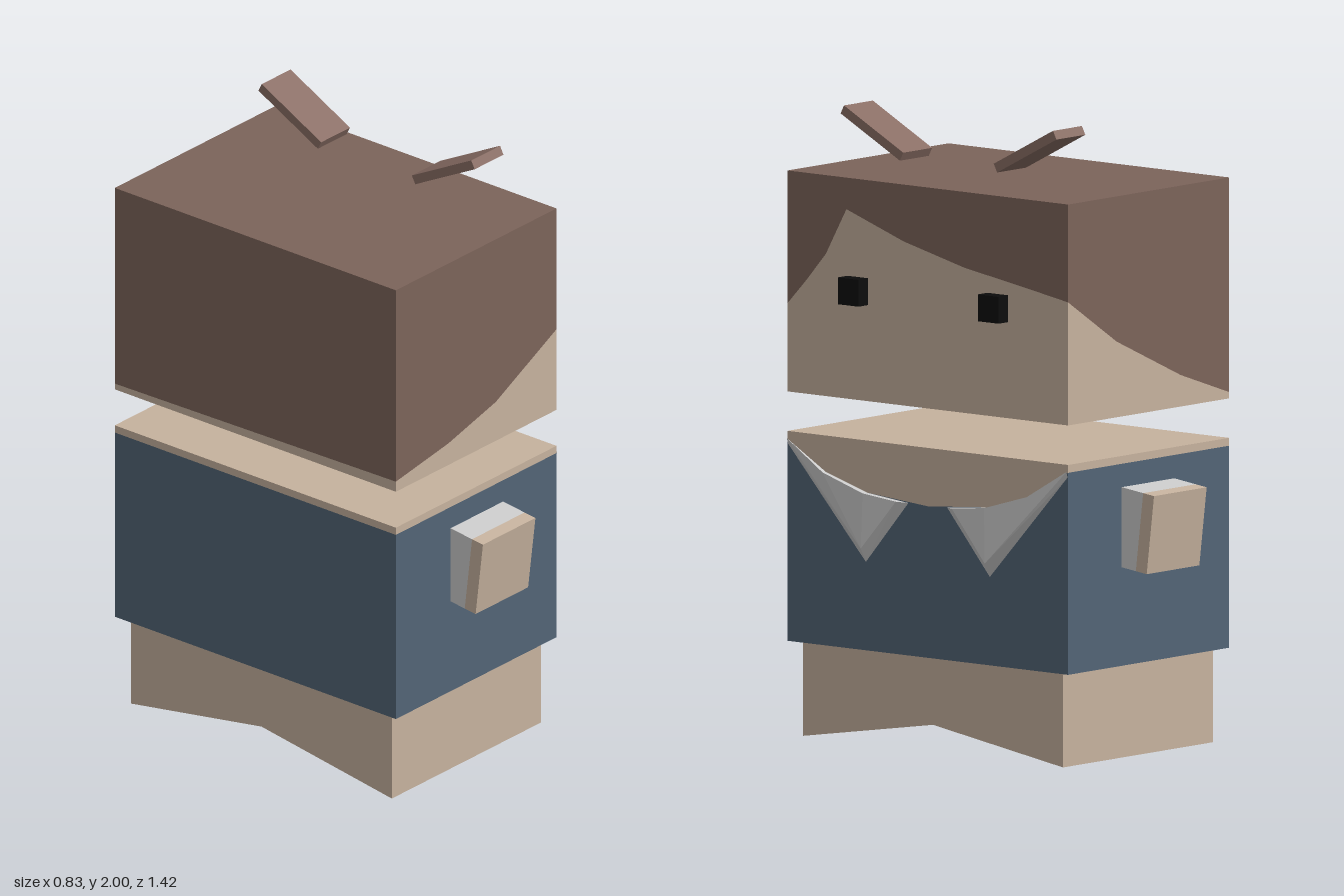
import * as THREE from 'three';

const SKIN = 0xc6b29e, HAIR = 0x7c645a, SHIRT = 0x526476, CLOTH = 0xcccccc, BROW = 0x8a6e65, BLACK = 0x0c0c0c;
const X0 = -0.415, X1 = 0.365, Z = 0.577; // shared footprint of head and torso

const material = (color) => new THREE.MeshStandardMaterial({ color, flatShading: true });

function add(parent, name, geometry, color) {
  const mesh = new THREE.Mesh(geometry, material(color));
  mesh.name = name;
  parent.add(mesh);
  return mesh;
}

const polygon = (points) => new THREE.Shape(points.map(([u, v]) => new THREE.Vector2(u, v)));

// Walls in the order face, -z side, back, +z side: turn about y and distance from the axis
const WALLS = [
  ['Face', Math.PI / 2, X1],
  ['RightSide', Math.PI, Z],
  ['Back', -Math.PI / 2, -X0],
  ['LeftSide', 0, Z],
];

// Box whose four walls are each split in two colours along a line of [u, y] points
function splitBlock(name, y0, y1, lines, lower, upper, bottomColor) {
  const block = new THREE.Group();
  block.name = name;
  WALLS.forEach(([wall, angle, dist], i) => {
    const line = lines[i], a = line[0][0], b = line[line.length - 1][0];
    const panel = (part, points, color) =>
      add(block, part + wall, new THREE.ShapeGeometry(polygon(points)).translate(0, 0, dist).rotateY(angle), color);
    panel('lower', [[a, y0], [b, y0], ...[...line].reverse()], lower);
    panel('upper', [...line, [b, y1], [a, y1]], upper);
  });
  const cap = (part, y, turn, color) =>
    add(block, part, new THREE.PlaneGeometry(X1 - X0, 2 * Z).rotateX(turn).translate((X0 + X1) / 2, y, 0), color);
  cap('top', y1, -Math.PI / 2, upper);
  cap('bottom', y0, Math.PI / 2, bottomColor);
  return block;
}

// Pointed collar flap with sloping lower edges, lying on the face wall
function collarFlap() {
  const top = [[0.575, 0.925], [0.42, 0.85], [0.25, 0.8], [0.08, 0.783]];
  const geometry = new THREE.ExtrudeGeometry(polygon([...top, [0.255, 0.58]]), { depth: 0.025, bevelEnabled: false });
  const p = geometry.attributes.position;
  for (let i = 0; i < p.count; i++) {
    if (p.getZ(i) < 0.01) continue;
    const u = p.getX(i), v = p.getY(i);
    if (v < 0.6) p.setY(i, v + 0.045);                        // tip
    else if (u < 0.1) p.setXYZ(i, u + 0.035, v + 0.003, 0.02); // inner corner
    else if (u > 0.5) p.setXYZ(i, u, v + 0.018, 0.006);       // outer corner
    else p.setZ(i, u > 0.4 ? 0.016 : 0.022);
  }
  geometry.computeVertexNormals();
  return geometry.rotateY(Math.PI / 2).translate(X1, 0, 0);
}

export function createModel() {
  const model = new THREE.Group();
  model.name = 'blockFigure';

  // Head with hairline running round all four walls
  model.add(splitBlock('head', 1.09, 1.79, [
    [[-Z, 1.37], [-0.5, 1.45], [-0.42, 1.54], [-0.335, 1.69], [-0.1, 1.61], [0.15, 1.55], [0.4, 1.51], [Z, 1.48]],
    [[-X1, 1.48], [-0.13, 1.33], [0.18, 1.19], [-X0, 1.11]],
    [[-Z, 1.11], [Z, 1.125]],
    [[X0, 1.125], [-0.16, 1.165], [0.07, 1.225], [X1, 1.37]],
  ], SKIN, HAIR, BLACK));

  // Torso: shirt with scooped neckline, skin above
  const straight = (a, b) => [[a, 0.94], [b, 0.94]];
  model.add(splitBlock('torso', 0.3, 0.965, [
    [[-Z, 0.94], [-0.42, 0.85], [-0.25, 0.8], [0, 0.78], [0.25, 0.8], [0.42, 0.85], [Z, 0.94]],
    straight(-X1, -X0),
    straight(-Z, Z),
    straight(X0, X1),
  ], SHIRT, SKIN, SHIRT));

  // Legs: one block with a shallow notch underneath
  const legs = polygon([[-0.535, 0], [0, 0.085], [0.535, 0], [0.535, 0.3], [-0.535, 0.3]]);
  add(model, 'legs', new THREE.ExtrudeGeometry(legs, { depth: 0.725, bevelEnabled: false })
    .rotateY(Math.PI / 2).translate(-0.385, 0, 0), SKIN);

  for (const [side, s] of [['left', 1], ['right', -1]]) {
    add(model, side + 'Eye', new THREE.BoxGeometry(0.06, 0.085, 0.085), BLACK).position.set(0.382, 1.437, s * 0.288);

    // Floating tilted brow
    const brow = add(model, side + 'Brow', new THREE.BoxGeometry(0.14, 0.03, 0.275), BROW);
    brow.position.set(0.195, 1.922, s * 0.315);
    brow.rotation.x = -s * 0.48;

    // Stubby arm: sleeve and hand, drooping slightly
    const arm = new THREE.Group();
    arm.name = side + 'Arm';
    add(arm, 'sleeve', new THREE.BoxGeometry(0.255, 0.252, 0.15), CLOTH).position.z = -s * 0.12;
    add(arm, 'hand', new THREE.BoxGeometry(0.255, 0.252, 0.045), SKIN).position.z = -s * 0.0225;
    arm.position.set(-0.022, 0.725, s * 0.695);
    arm.rotation.x = s * 0.12;
    model.add(arm);

    // Collar flaps mirrored across the middle
    const flap = add(model, side + 'CollarFlap', collarFlap(), CLOTH);
    flap.scale.z = -s;
    flap.material.side = THREE.DoubleSide;
  }
  return model;
}
